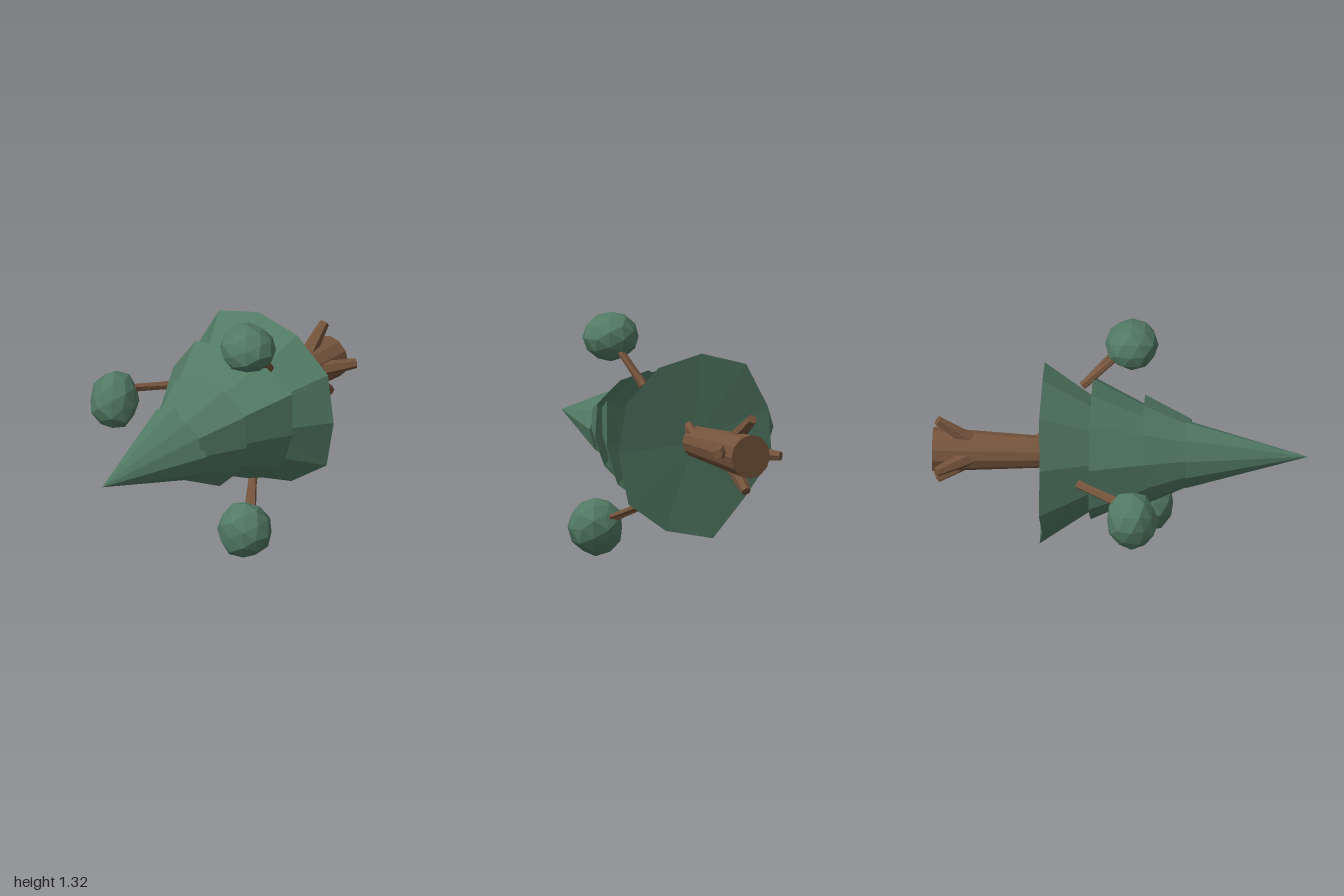
import * as THREE from 'three';

const mat = (name, color) => {
  const m = new THREE.MeshStandardMaterial({ color, flatShading: true });
  m.name = name;
  return m;
};

export function createModel() {
  const green = mat('pineGreen', 0x527a64);
  const brown = mat('barkBrown', 0x75543c);
  const group = new THREE.Group();
  const CX = 0.14, CY = 0.655, SIDES = 11;

  const add = (name, geometry, material) => {
    const mesh = new THREE.Mesh(geometry, material);
    mesh.name = name;
    group.add(mesh);
    return mesh;
  };

  // Tapered limb from a to b
  const limb = (name, a, b, ra, rb, sides) => {
    const from = new THREE.Vector3(...a), to = new THREE.Vector3(...b);
    const dir = to.clone().sub(from);
    const mesh = add(name, new THREE.CylinderGeometry(rb, ra, dir.length(), sides), brown);
    mesh.position.copy(from).add(to).multiplyScalar(0.5);
    mesh.quaternion.setFromUnitVectors(new THREE.Vector3(0, 1, 0), dir.normalize());
  };

  // Foliage: uneven tiers along z, each flaring to a ragged rim
  const tiers = [
    { z: -0.415, r: [0.48, 0.51, 0.48, 0.487, 0.446, 0.53, 0.494, 0.51, 0.47, 0.49, 0.475], top: 0.6 },
    { z: -0.155, r: [0.38, 0.43, 0.435, 0.427, 0.35, 0.385, 0.385, 0.4, 0.39, 0.45, 0.39], top: 0.62 },
    { z: 0.125, r: [0.32, 0.3, 0.28, 0.27, 0.267, 0.297, 0.32, 0.3, 0.3, 0.33, 0.314], top: 0.6 },
    { z: 0.35, r: [0.216, 0.217, 0.19, 0.18, 0.18, 0.195, 0.2, 0.21, 0.205, 0.18, 0.18], top: 0 },
  ];
  const ring = (radii, scale, z) => radii.map((r, i) => {
    const a = THREE.MathUtils.degToRad(95) + (i / SIDES) * Math.PI * 2;
    // longer leaves droop further back
    const droop = scale === 1 ? (0.48 - r) * 0.25 * (radii === tiers[0].r ? 1 : 0) : 0;
    return [CX + Math.cos(a) * r * scale, CY + Math.sin(a) * r * scale, z + droop];
  });
  const rings = [ring(tiers[0].r, 0, -0.4)];
  tiers.forEach((t, i) => {
    const next = tiers[i + 1];
    rings.push(ring(t.r, 1, t.z));
    rings.push(ring(t.r, t.top, next ? next.z + 0.025 : 1));
  });
  const verts = [];
  for (let k = 0; k < rings.length - 1; k++) {
    for (let i = 0; i < SIDES; i++) {
      const j = (i + 1) % SIDES, a = rings[k], b = rings[k + 1];
      if (k > 0) verts.push(...a[i], ...a[j], ...b[j]);
      if (k < rings.length - 2) verts.push(...a[i], ...b[j], ...b[i]);
    }
  }
  const foliage = new THREE.BufferGeometry();
  foliage.setAttribute('position', new THREE.Float32BufferAttribute(verts, 3));
  foliage.computeVertexNormals();
  add('foliage', foliage, green);

  // Trunk and spreading roots
  limb('trunk', [0.135, 0.655, -1], [0.125, 0.66, -0.38], 0.118, 0.083, 12);
  for (let i = 0; i < 4; i++) {
    const a = (i / 4) * Math.PI * 2 + 0.1;
    const at = (r, z) => [0.13 + Math.cos(a) * r, 0.66 + Math.sin(a) * r, z];
    limb('root', at(0.07, -0.81), at(0.195, -0.975), 0.045, 0.027, 6);
  }
  limb('twigStub', [0.165, 0.7, -0.46], [0.17, 0.755, -0.38], 0.03, 0.03, 6);

  // Leaf clumps on forked side branches
  const clumps = [
    { c: [0.387, 1.187, 0.05], s: [0.153, 0.133, 0.143], from: [0.335, 0.95, -0.21] },
    { c: [-0.482, 0.633, 0.085], s: [0.131, 0.162, 0.137], from: [-0.23, 0.69, -0.21] },
    { c: [0.433, 0.155, 0.135], s: [0.152, 0.155, 0.138], from: [0.27, 0.31, -0.15] },
  ];
  clumps.forEach(({ c, s, from }, n) => {
    const geo = new THREE.IcosahedronGeometry(1, 1);
    const p = geo.attributes.position, v = new THREE.Vector3();
    for (let i = 0; i < p.count; i++) {
      v.fromBufferAttribute(p, i);
      const f = 1 + 0.055 * Math.sin(v.x * 7 + n * 2) * Math.cos(v.y * 6 + v.z * 5 + n);
      p.setXYZ(i, v.x * f * s[0], v.y * f * s[1], v.z * f * s[2]);
    }
    geo.computeVertexNormals();
    add('leafClump', geo, green).position.set(...c);

    const end = from.map((q, i) => q + (c[i] - q) * 0.8);
    if (n === 1) end[1] = 0.69;
    limb('branch', from, end, 0.024, 0.018, 6);
    limb('branchFork', from, [end[0] + 0.03, end[1] + 0.015, end[2] - 0.02], 0.02, 0.014, 6);
  });

  return group;
}
